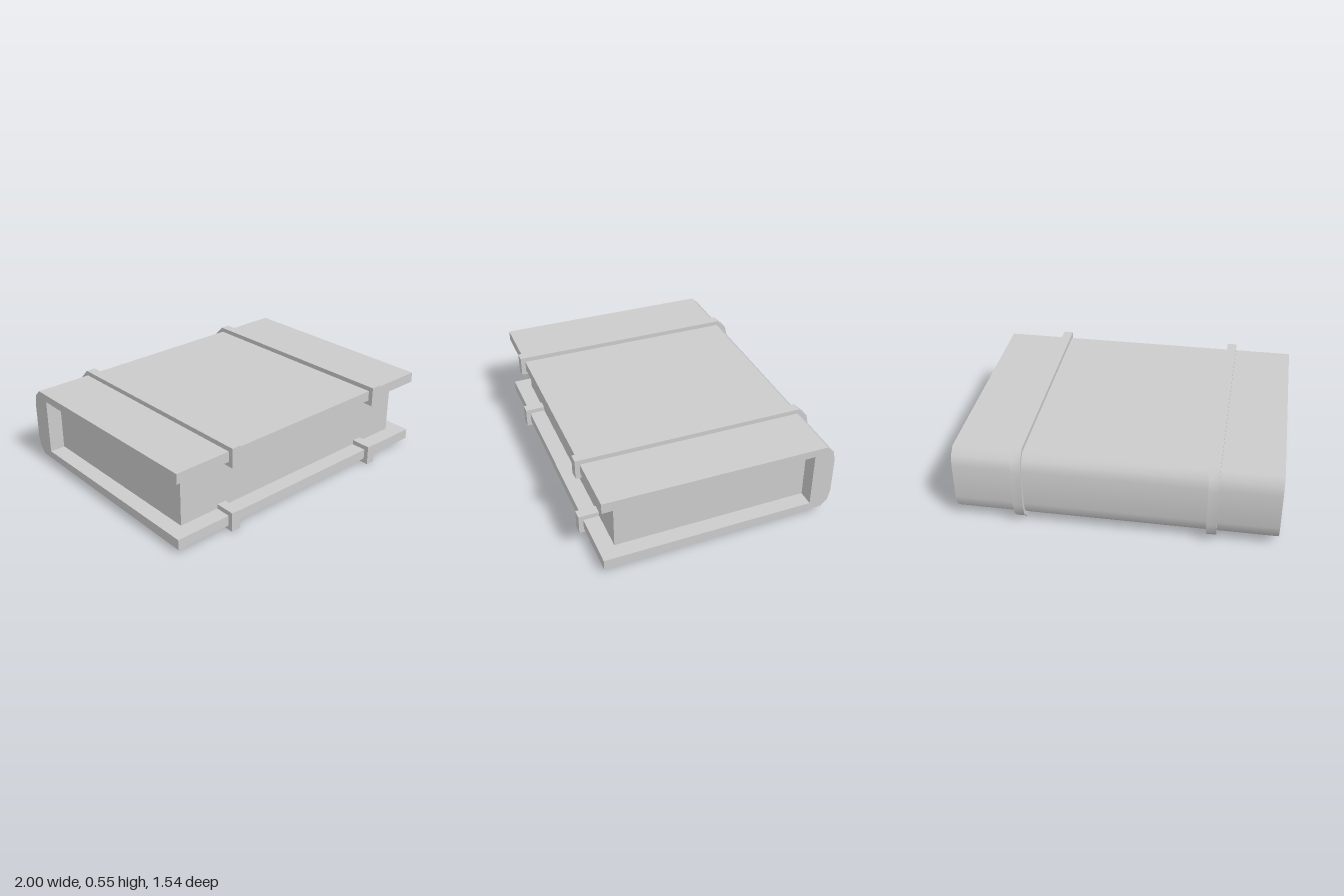
import * as THREE from 'three';
import { toCreasedNormals } from 'three/addons/utils/BufferGeometryUtils.js';

const MID = 0.277; // height of the mirror plane between both covers

// Upper half of each C-shaped section as [z, y], from the inside corner of the spine round to its back
const COVER = [[-0.6, 0.457], [0.74, 0.457], [0.74, 0.524], [-0.68, 0.505], [-0.724, 0.461], [-0.739, 0.395]];
const BAND = [[-0.57, 0.427], [0.77, 0.427], [0.77, 0.554], [-0.69, 0.534], [-0.75, 0.473], [-0.768, 0.395]];

// Mirrors the half section and extrudes it along x, centred on x = 0
function wrap(half, width, material) {
  const lower = half.map(([z, y]) => [z, 2 * MID - y]).reverse();
  const shape = new THREE.Shape([...half, ...lower].map(([z, y]) => new THREE.Vector2(-z, y)));
  const geometry = new THREE.ExtrudeGeometry(shape, { depth: width, bevelEnabled: false });
  geometry.translate(0, 0, -width / 2).rotateY(Math.PI / 2);
  return new THREE.Mesh(toCreasedNormals(geometry, 0.65), material);
}

export function createModel() {
  const book = new THREE.Group();
  book.name = 'book';
  const material = new THREE.MeshStandardMaterial({ color: 0xcccccc });

  // Both boards and the rounded spine in one piece
  const cover = wrap(COVER, 2, material);
  cover.name = 'cover';
  book.add(cover);

  // Page block, set back from the cover edges
  const pages = new THREE.Mesh(new THREE.BoxGeometry(1.8, 0.357, 1.24), material);
  pages.name = 'pages';
  pages.position.set(0, MID, 0.02);
  book.add(pages);

  // Raised bands wrapping the boards and spine
  for (const side of [1, -1]) {
    const band = wrap(BAND, 0.062, material);
    band.name = side > 0 ? 'leftBand' : 'rightBand';
    band.position.x = side * 0.595;
    book.add(band);
  }
  return book;
}
